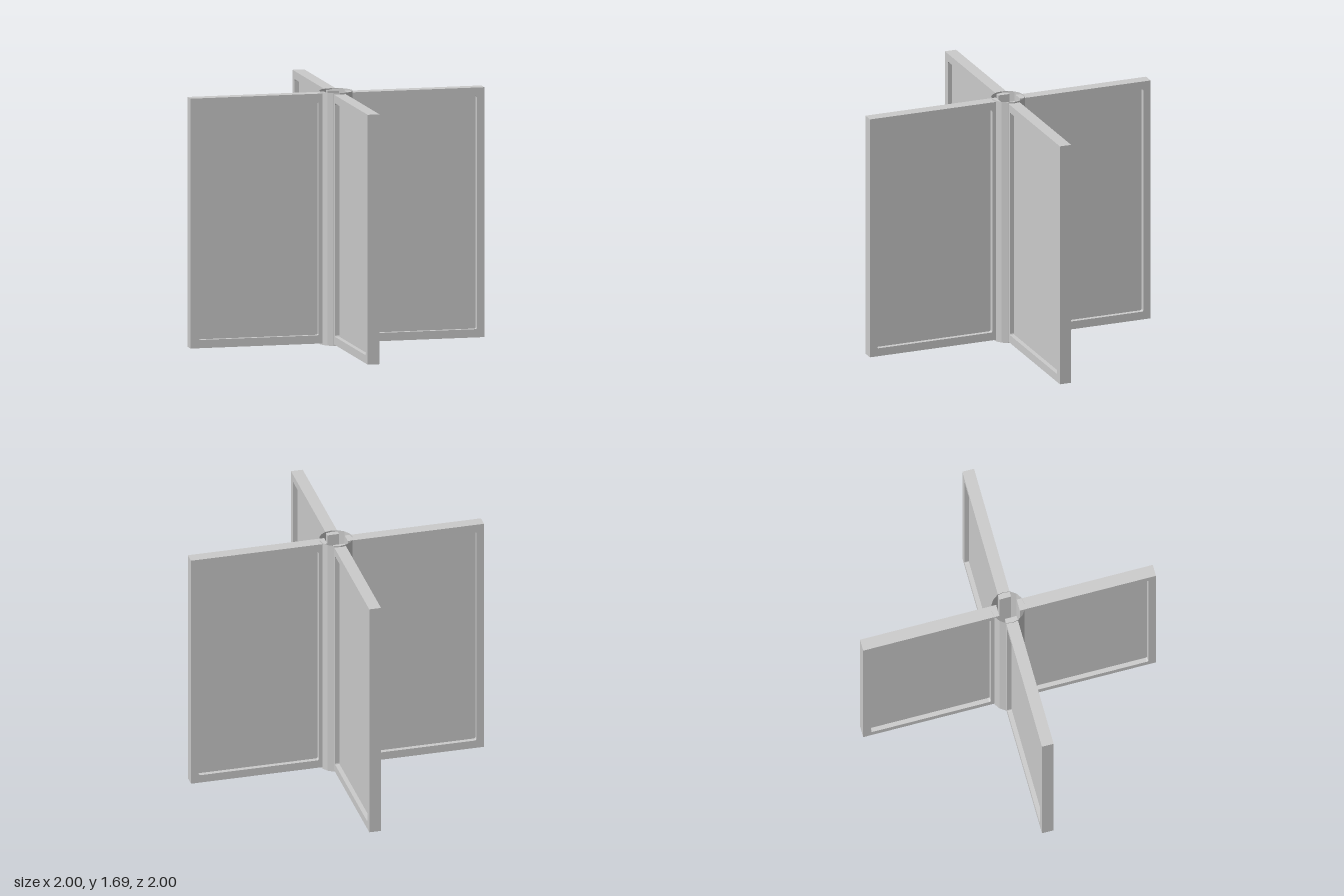
import * as THREE from 'three';

const INNER = 0.07, OUTER = 1, BOTTOM = 0.01, TOP = 1.677, THICK = 0.08;
const material = new THREE.MeshStandardMaterial({ color: 0xcccccc, flatShading: true });
const sheet = new THREE.MeshStandardMaterial({ color: 0xcccccc, flatShading: true, side: THREE.DoubleSide });

// Rectangle with small rounded corners
function roundedRect(path, x0, y0, x1, y1, r) {
  path.moveTo(x0 + r, y0);
  path.lineTo(x1 - r, y0);
  path.quadraticCurveTo(x1, y0, x1, y0 + r);
  path.lineTo(x1, y1 - r);
  path.quadraticCurveTo(x1, y1, x1 - r, y1);
  path.lineTo(x0 + r, y1);
  path.quadraticCurveTo(x0, y1, x0, y1 - r);
  path.lineTo(x0, y0 + r);
  path.quadraticCurveTo(x0, y0, x0 + r, y0);
  return path;
}

function mesh(name, geometry, mat = material) {
  const m = new THREE.Mesh(geometry, mat);
  m.name = name;
  return m;
}

// One wing: a frame around a recessed pane
function makeWing() {
  const wing = new THREE.Group();
  const outline = new THREE.Shape();
  outline.moveTo(INNER, BOTTOM);
  outline.lineTo(OUTER, BOTTOM);
  outline.lineTo(OUTER, TOP);
  outline.lineTo(INNER, TOP);
  outline.closePath();
  outline.holes.push(roundedRect(new THREE.Path(), 0.128, 0.065, 0.948, 1.623, 0.012));
  const frame = new THREE.ExtrudeGeometry(outline, { depth: THICK, bevelEnabled: false, curveSegments: 4 });
  frame.translate(0, 0, -THICK / 2);
  wing.add(mesh('wingFrame', frame));

  const pane = mesh('wingPane', new THREE.BoxGeometry(0.84, 1.578, 0.02));
  pane.position.set(0.538, 0.844, 0);
  wing.add(pane);
  return wing;
}

export function createModel() {
  const model = new THREE.Group();
  model.name = 'revolvingDoor';

  // Four wings around the axis
  for (let i = 0; i < 4; i++) {
    const wing = makeWing();
    wing.name = `wing${i + 1}`;
    wing.rotation.y = i * Math.PI / 2;
    model.add(wing);
  }

  // Open hollow hub that joins the wings
  const hub = mesh('hub', new THREE.CylinderGeometry(0.111, 0.111, 1.687, 16, 1, true), sheet);
  hub.position.y = 1.687 / 2;
  model.add(hub);
  return model;
}
